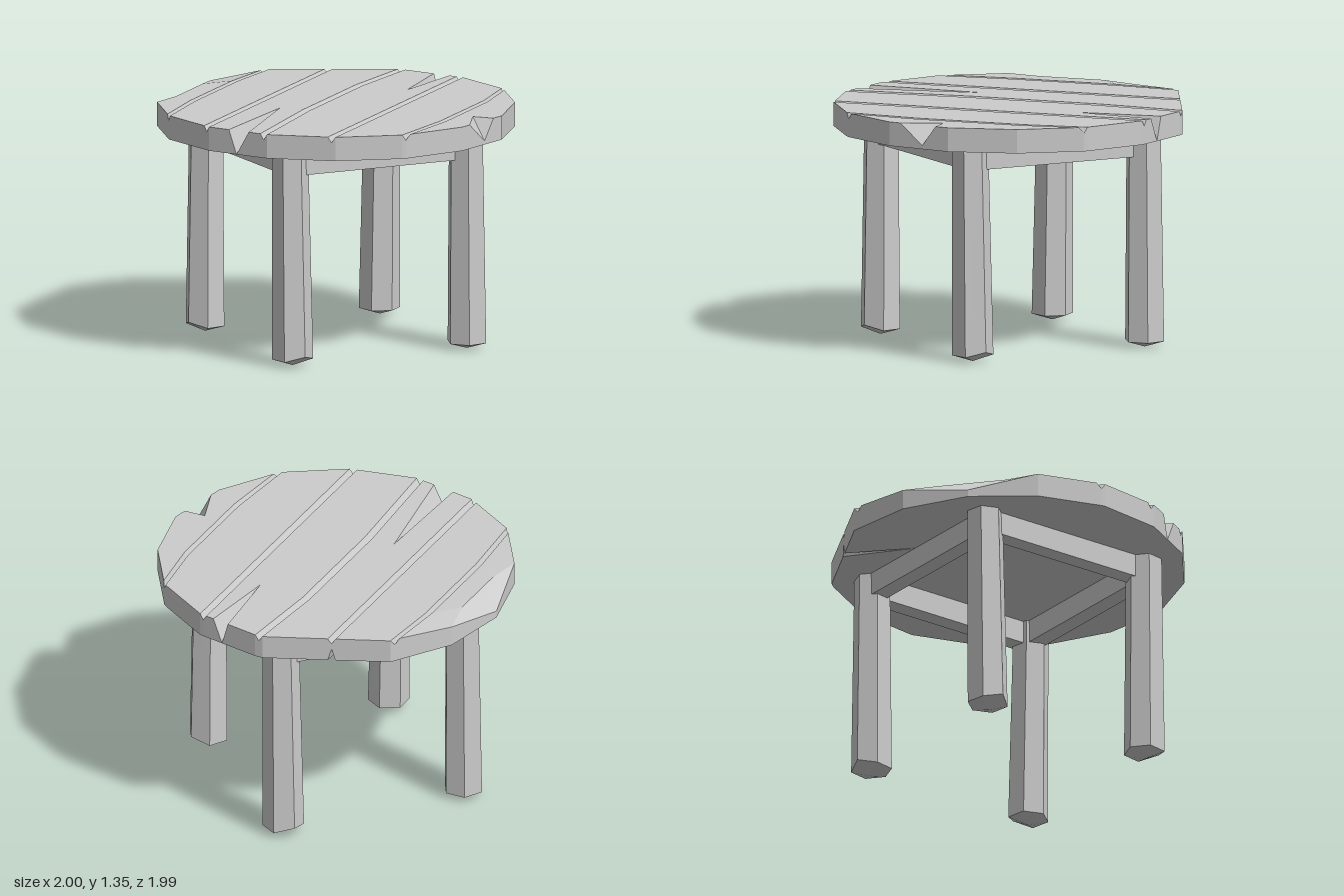
import * as THREE from 'three';

const TOP = 1.345, BASE = 1.21, GROOVE = 1.313;
const material = new THREE.MeshStandardMaterial({ color: 0xcccccc, flatShading: true });

// Rim of the tabletop: z of the front and back edges at a given x
const FRONT = [[-1, 0], [-0.92, 0.38], [-0.71, 0.71], [-0.38, 0.92], [0, 0.995], [0.38, 0.92], [0.71, 0.71], [0.92, 0.38], [1, 0]];
const BACK = [[-1, 0], [-0.92, -0.39], [-0.7, -0.72], [-0.4, -0.845], [-0.045, -0.995], [0, -0.995], [0.38, -0.92], [0.71, -0.71], [0.92, -0.38], [1, 0]];
function rimZ(line, x) {
  for (let i = 1; i < line.length; i++) {
    const [x0, z0] = line[i - 1], [x1, z1] = line[i];
    if (x <= x1) return z0 + (z1 - z0) * (x - x0) / (x1 - x0);
  }
  return 0;
}

// One line across the tabletop from back to front, bending to x = mid between the rims
function column(x, mid = x, { back = TOP, middle = TOP, front = TOP, under = BASE, deep = false } = {}) {
  const zb = rimZ(BACK, x), zf = rimZ(FRONT, x);
  const z = [zb, Math.max(-0.55, zb / 2), Math.min(0.27, zf / 2), zf];
  const xs = [x, mid, mid, x], ys = [back, middle, middle, front];
  return {
    deep,
    top: z.map((v, k) => new THREE.Vector3(xs[k], ys[k], v)),
    bottom: z.map((v, k) => new THREE.Vector3(xs[k], k === 0 ? under : BASE, v)),
  };
}

// V groove between two planks
function groove(x, mid, half, extra = {}) {
  return [
    column(x - half, mid - half),
    column(x, mid, { back: GROOVE, middle: GROOVE, front: GROOVE, deep: true, ...extra }),
    column(x + half, mid + half),
  ];
}

function tabletopGeometry() {
  const columns = [
    column(-1, -1, { back: 1.25, middle: 1.25, front: 1.25 }), // worn, sloping edge
    column(-0.92, -0.885, { back: 1.325 }),
    ...groove(-0.718, -0.75, 0.016),
    ...groove(-0.4, -0.4, 0.02, { under: 1.28 }), // split from below at the back
    column(-0.25), column(-0.2, -0.225, { front: BASE, deep: true }), column(-0.12), // front crack
    ...groove(-0.022, -0.066, 0.022),
    column(0.19), column(0.23, 0.23, { back: BASE, deep: true }), column(0.29), // back crack
    ...groove(0.36, 0.36, 0.021),
    ...groove(0.715, 0.757, 0.016),
    column(0.92, 0.82),
    column(0.935, 0.835), column(0.965, 0.86, { front: 1.23, deep: true }), column(0.983, 0.93), // side chip
    column(1),
  ];
  const points = [];
  const tri = (a, b, c) => {
    const area = b.clone().sub(a).cross(c.clone().sub(a)).length();
    if (area > 1e-7) for (const p of [a, b, c]) points.push(p.x, p.y, p.z);
  };
  // The diagonal runs from the inner end of a crack to its corner on the rim
  const sheet = (L, R, leftDeep, flip) => {
    for (let k = 0; k < 3; k++) {
      const [a, b, c, d] = [L[k], L[k + 1], R[k + 1], R[k]];
      const tris = (k === 0) === leftDeep ? [[a, b, d], [b, c, d]] : [[a, b, c], [a, c, d]];
      for (const [p, q, r] of tris) flip ? tri(p, r, q) : tri(p, q, r);
    }
  };
  for (let i = 0; i + 1 < columns.length; i++) {
    const L = columns[i], R = columns[i + 1];
    sheet(L.top, R.top, L.deep, false);
    sheet(L.bottom, R.bottom, L.deep, true);
    // rim walls
    tri(L.bottom[3], R.bottom[3], R.top[3]);
    tri(L.bottom[3], R.top[3], L.top[3]);
    tri(R.bottom[0], L.bottom[0], L.top[0]);
    tri(R.bottom[0], L.top[0], R.top[0]);
  }
  const g = new THREE.BufferGeometry();
  g.setAttribute('position', new THREE.Float32BufferAttribute(points, 3));
  g.computeVertexNormals();
  return g;
}

// Six-sided tapered leg with a worn, pointed foot
function legGeometry() {
  const foot = 0.035, h = BASE - foot;
  const g = new THREE.CylinderGeometry(0.102, 0.116, h, 6, 1).toNonIndexed();
  g.translate(0, foot + h / 2, 0);
  const p = g.attributes.position;
  for (let i = 0; i < p.count; i++) {
    const x = p.getX(i), y = p.getY(i), z = p.getZ(i);
    if (y < 0.1) {
      if (Math.hypot(x, z) < 0.01) p.setY(i, 0);
      else if (x > 0.05 && z > 0.02) p.setY(i, 0.062);
    }
    p.setX(i, x + 0.058 - 0.015 * (y - foot) / h);
    p.setZ(i, z + 0.765);
  }
  g.computeVertexNormals();
  return g;
}

export function createModel() {
  const model = new THREE.Group();
  model.name = 'roundTable';
  const add = (name, geometry, parent = model) => {
    const mesh = new THREE.Mesh(geometry, material);
    mesh.name = name;
    parent.add(mesh);
    return mesh;
  };
  add('tabletop', tabletopGeometry());

  // Legs and aprons repeat four times around the centre
  const leg = legGeometry();
  const from = new THREE.Vector2(-0.745, 0.07), to = new THREE.Vector2(0.0, 0.71);
  const rail = new THREE.BoxGeometry(from.distanceTo(to), BASE - 1.08, 0.1);
  ['front', 'left', 'back', 'right'].forEach((side, i) => {
    const quarter = new THREE.Group();
    quarter.name = side + 'Support';
    quarter.rotation.y = i * Math.PI / 2;
    add(side + 'Leg', leg, quarter);
    const apron = add(side + 'Apron', rail, quarter);
    apron.position.set((from.x + to.x) / 2, (BASE + 1.08) / 2, (from.y + to.y) / 2);
    apron.rotation.y = -Math.atan2(to.y - from.y, to.x - from.x);
    model.add(quarter);
  });
  return model;
}
